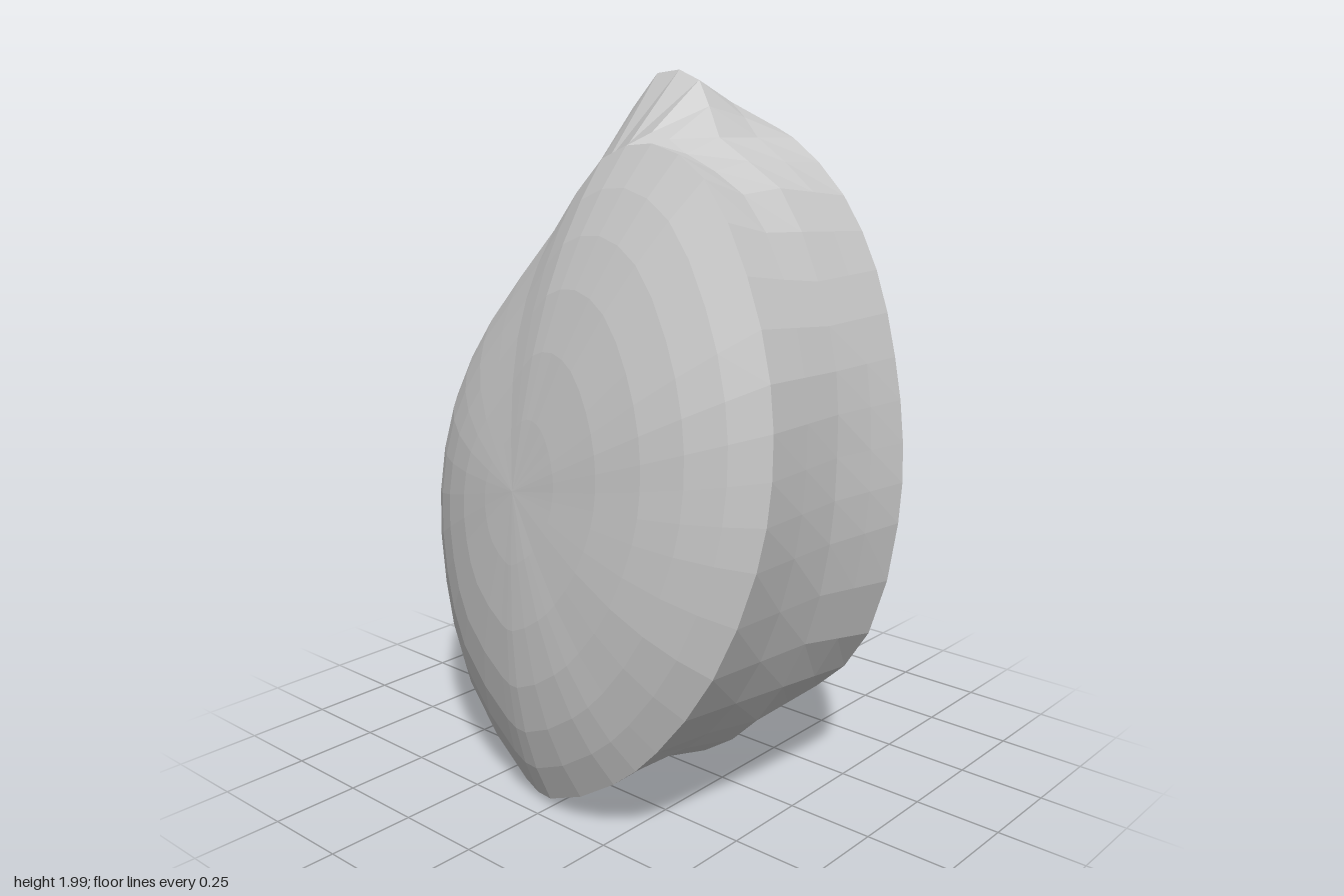
import * as THREE from 'three';

const N = 36;
const material = new THREE.MeshStandardMaterial({ color: 0xcccccc, flatShading: true });

// Closed loops, clockwise from the top as seen from the front
const frontRim = [
  [0, 1.77, 0.22], [0.2, 1.815, 0.25], [0.42, 1.74, 0.31], [0.6, 1.53, 0.37], [0.71, 1.3, 0.42], [0.735, 1.08, 0.44],
  [0.71, 0.86, 0.46], [0.6, 0.57, 0.48], [0.42, 0.32, 0.48], [0.27, 0.18, 0.48], [0, 0.03, 0.45], [-0.13, 0.035, 0.42],
  [-0.45, 0.21, 0.34], [-0.62, 0.45, 0.27], [-0.68, 0.75, 0.23], [-0.62, 1.05, 0.21], [-0.47, 1.29, 0.2], [-0.21, 1.56, 0.2],
];
const middleRidge = [
  [0.02, 1.97, -0.15], [0.15, 1.82, -0.08], [0.4, 1.7, -0.02], [0.56, 1.48, 0.03], [0.65, 1.27, 0.07], [0.68, 1.06, 0.1],
  [0.68, 0.84, 0.12], [0.62, 0.56, 0.13], [0.47, 0.3, 0.13], [0.3, 0.16, 0.14], [0, 0.07, 0.12], [-0.35, 0.005, 0.06],
  [-0.63, 0.24, -0.01], [-0.74, 0.56, -0.08], [-0.72, 0.78, -0.11], [-0.58, 1.16, -0.14], [-0.34, 1.74, -0.17], [-0.16, 1.99, -0.18],
];
const backRim = [
  [0, 1.85, -0.46], [0.14, 1.81, -0.43], [0.36, 1.66, -0.37], [0.5, 1.47, -0.33], [0.6, 1.25, -0.28], [0.66, 1.03, -0.24],
  [0.68, 0.82, -0.2], [0.62, 0.5, -0.17], [0.46, 0.3, -0.16], [0.28, 0.25, -0.17], [0.05, 0.28, -0.23], [-0.15, 0.35, -0.27],
  [-0.34, 0.49, -0.29], [-0.46, 0.67, -0.31], [-0.5, 0.92, -0.35], [-0.49, 1.2, -0.39], [-0.43, 1.6, -0.46], [-0.24, 1.85, -0.49],
];

// Smooth closed ring through the loop points
function ring(points) {
  const curve = new THREE.CatmullRomCurve3(points.map((p) => new THREE.Vector3(...p)), true);
  return Array.from({ length: N }, (_, i) => curve.getPoint(i / N));
}

// Ring halfway between two others, hollowed by a fraction at the top and bottom
function between(a, b, hollow) {
  return a.map((p, i) => {
    const q = p.clone().lerp(b[i], 0.5);
    const rise = q.y - 0.95;
    q.y -= rise * hollow * THREE.MathUtils.smoothstep(Math.abs(rise), 0.5, 0.85);
    return q;
  });
}

// Rings of a dome, from its centre out to the rim
function domeRings(rim, centre, bulge, power) {
  return [0, 0.22, 0.42, 0.6, 0.75, 0.88, 1].map((s) => rim.map((p) => {
    const q = centre.clone().lerp(p, s);
    q.z += bulge * (1 - s ** power);
    return q;
  }));
}

// Skin over successive rings, ordered front to back
function loft(name, rows) {
  const positions = [];
  const tri = (...corners) => {
    const [a, b, c] = corners;
    if (a.distanceTo(b) > 1e-5 && b.distanceTo(c) > 1e-5 && c.distanceTo(a) > 1e-5) {
      corners.forEach((v) => positions.push(v.x, v.y, v.z));
    }
  };
  for (let r = 0; r < rows.length - 1; r++) {
    for (let i = 0; i < N; i++) {
      const j = (i + 1) % N;
      tri(rows[r][i], rows[r + 1][j], rows[r + 1][i]);
      tri(rows[r][i], rows[r][j], rows[r + 1][j]);
    }
  }
  const geometry = new THREE.BufferGeometry();
  geometry.setAttribute('position', new THREE.Float32BufferAttribute(positions, 3));
  geometry.computeVertexNormals();
  const mesh = new THREE.Mesh(geometry, material);
  mesh.name = name;
  return mesh;
}

export function createModel() {
  const front = ring(frontRim);
  const ridge = ring(middleRidge);
  const back = ring(backRim);

  const group = new THREE.Group();
  group.name = 'stone';
  group.add(
    loft('frontDome', domeRings(front, new THREE.Vector3(-0.06, 0.92, 0.34), 0.17, 3.2)),
    loft('frontSideBand', [front, between(front, ridge, 0.04), ridge]),
    loft('backSideBand', [ridge, between(ridge, back, 0), back]),
    loft('backDome', domeRings(back, new THREE.Vector3(0.02, 0.98, -0.33), -0.175, 3).reverse()),
  );
  return group;
}
